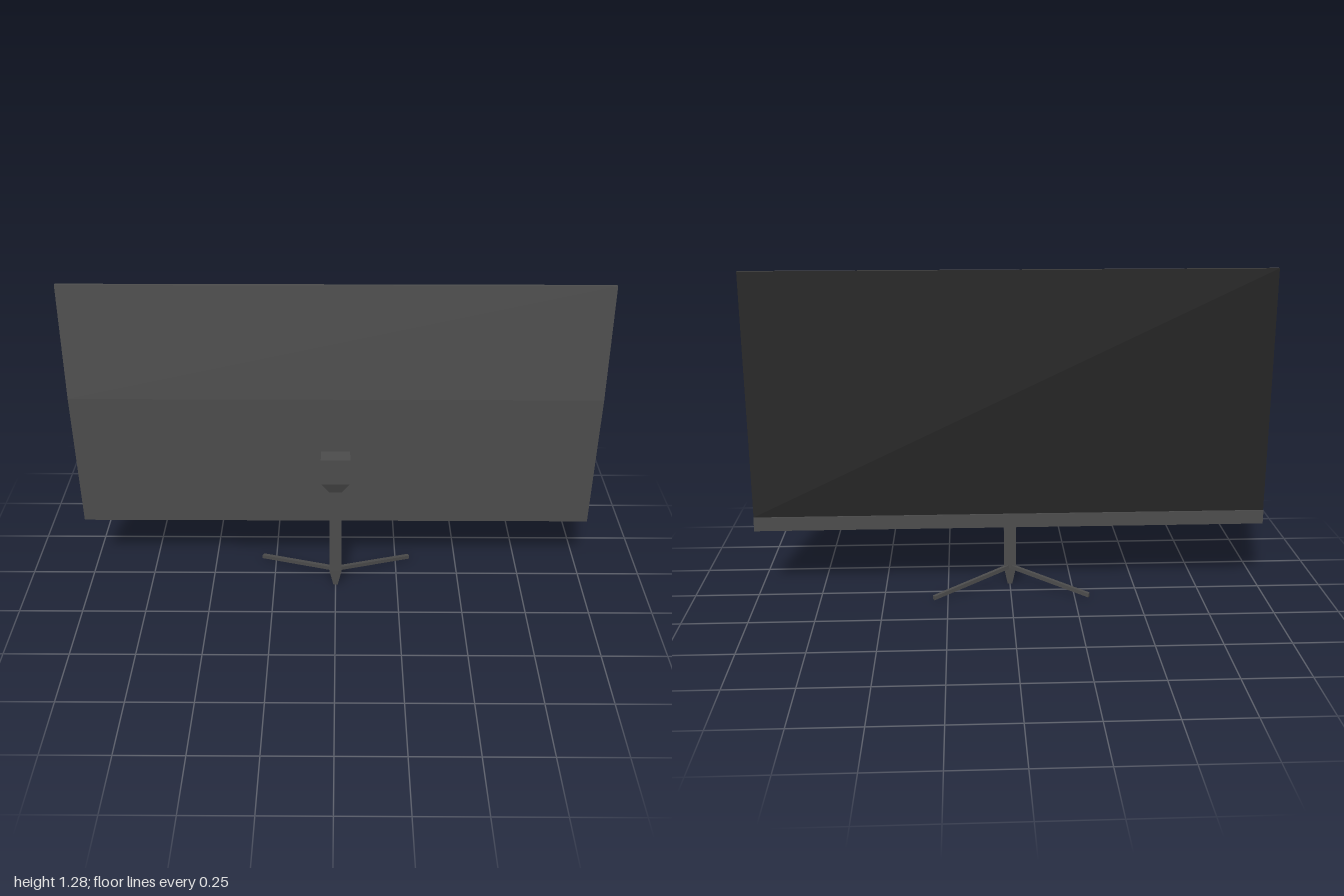
import * as THREE from 'three';

const casingMat = new THREE.MeshStandardMaterial({ color: 0x4c4c4c });
casingMat.name = 'charcoal plastic';
const screenMat = new THREE.MeshStandardMaterial({ color: 0x212121 });
screenMat.name = 'dark screen';

function part(name, geometry, material = casingMat) {
  const mesh = new THREE.Mesh(geometry, material);
  mesh.name = name;
  return mesh;
}

// Box between two heights whose top and bottom rectangles differ: [halfX, zMin, zMax]
function taperedBox(yLow, low, yHigh, high) {
  let geo = new THREE.BoxGeometry(2, 1, 1);
  const p = geo.attributes.position;
  for (let i = 0; i < p.count; i++) {
    const up = p.getY(i) > 0;
    const r = up ? high : low;
    p.setXYZ(i, p.getX(i) * r[0], up ? yHigh : yLow, p.getZ(i) > 0 ? r[2] : r[1]);
  }
  geo = geo.toNonIndexed();
  geo.computeVertexNormals();
  return geo;
}

export function createModel() {
  const model = new THREE.Group();
  model.name = 'monitor';

  // Casing: side profile as [z, y], extruded across the width
  const profile = [
    [-0.007, 1.285], [0.005, 1.285], [0.036, 0.84], [0.036, 0.29],
    [0, 0.275], [-0.014, 0.275], [-0.014, 0.33], [-0.007, 0.33],
  ];
  const shape = new THREE.Shape(profile.map(([z, y]) => new THREE.Vector2(-z, y)));
  const casing = new THREE.ExtrudeGeometry(shape, { depth: 2, bevelEnabled: false });
  casing.translate(0, 0, -1).rotateY(Math.PI / 2);
  model.add(part('casing', casing));

  // Screen panel on the far side of the stand
  const screen = new THREE.PlaneGeometry(2, 0.955).rotateY(Math.PI);
  screen.translate(0, 0.8075, -0.0076);
  model.add(part('screen', screen, screenMat));

  // Stand: mount block, its taper, post and pointed foot
  const block = [0.056, 0.036, 0.1];
  const post = [0.024, 0.058, 0.081];
  model.add(part('mountBlock', taperedBox(0.505, block, 0.613, block)));
  model.add(part('mountTaper', taperedBox(0.455, post, 0.505, block)));
  model.add(part('post', taperedBox(0.07, post, 0.455, post)));
  model.add(part('postFoot', taperedBox(0, [0.009, 0.062, 0.077], 0.07, post)));

  // Two splayed legs sloping down to the floor
  const length = 0.345;
  const angle = Math.atan2(0.162, 0.305);
  for (const side of [1, -1]) {
    const leg = new THREE.BoxGeometry(length, 0.016, 0.014).translate(length / 2, 0, 0);
    const p = leg.attributes.position;
    for (let i = 0; i < p.count; i++) p.setY(i, p.getY(i) + 0.076 - 0.06 * p.getX(i) / length);
    const flat = leg.toNonIndexed();
    flat.computeVertexNormals();
    flat.rotateY(side > 0 ? angle : Math.PI - angle).translate(0, 0, 0.068);
    model.add(part(side > 0 ? 'leftLeg' : 'rightLeg', flat));
  }
  return model;
}
